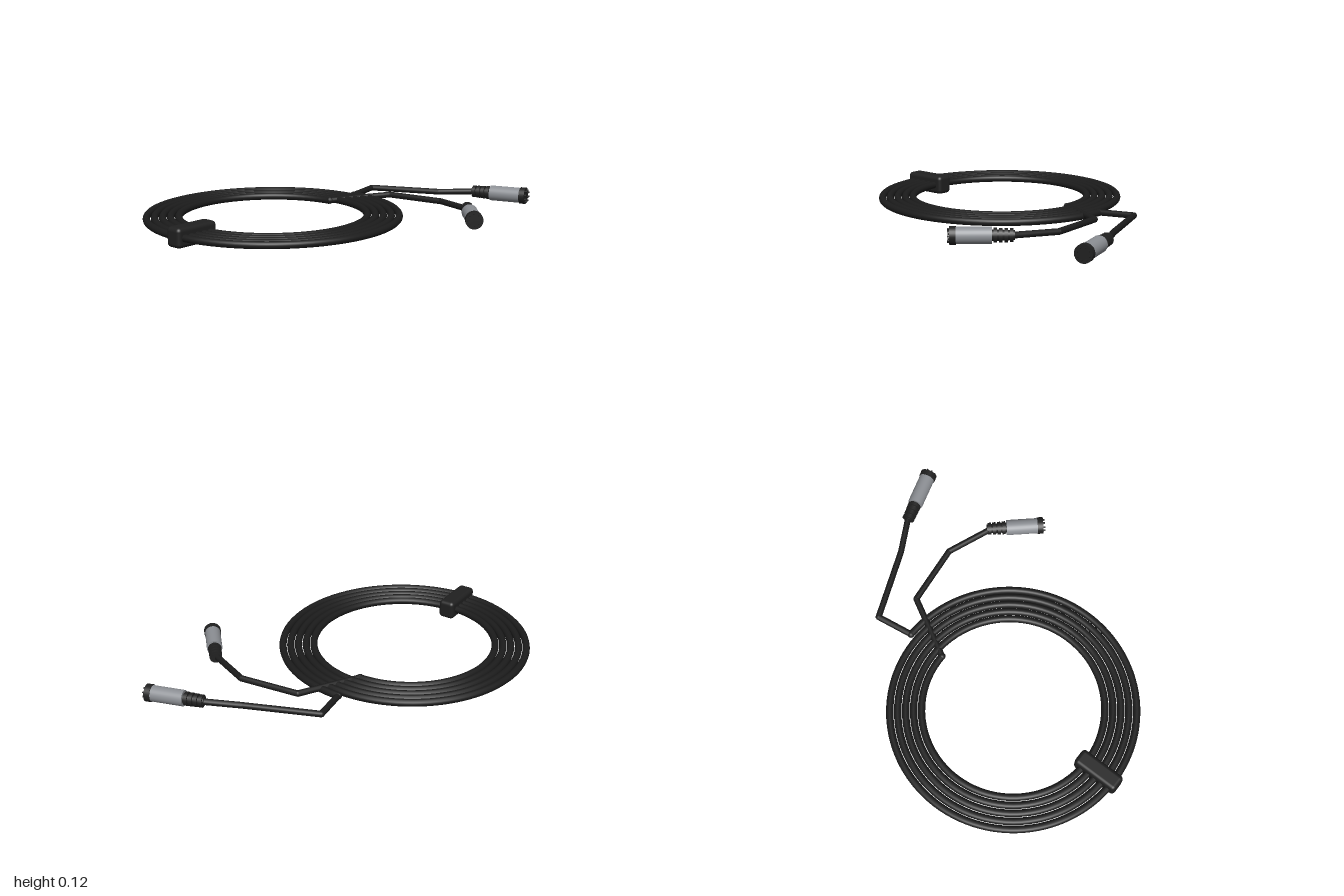
import * as THREE from 'three';
import { RoundedBoxGeometry } from 'three/addons/geometries/RoundedBoxGeometry.js';

const mat = (name, color) => {
  const m = new THREE.MeshStandardMaterial({ color });
  m.name = name;
  return m;
};
const UP = new THREE.Vector3(0, 1, 0);

// Flat spiral, from the inner end to the outer end
class Spiral extends THREE.Curve {
  getPoint(t, target = new THREE.Vector3()) {
    const turns = 5, a = t * turns * Math.PI * 2;
    const r = 0.4815 + 0.043 * turns * t;
    return target.set(-0.285 + r * Math.cos(a), 0.052, -0.166 - r * Math.sin(a));
  }
}

export function createModel() {
  const cableMat = mat('black cable', 0x1c1c1c);
  const rubberMat = mat('dark rubber', 0x202020);
  const metalMat = mat('grey metal', 0x8c8f94);

  const model = new THREE.Group();
  model.name = 'coiledCable';
  const add = (parent, name, geo, material) => {
    const mesh = new THREE.Mesh(geo, material);
    mesh.name = name;
    parent.add(mesh);
    return mesh;
  };

  // Coil and the clip that holds it
  add(model, 'coil', new THREE.TubeGeometry(new Spiral(), 480, 0.02, 12), cableMat);
  add(model, 'clip', new RoundedBoxGeometry(0.265, 0.106, 0.095, 4, 0.022), rubberMat)
    .position.set(-0.868, 0.053, -0.165);

  // Tail: straight runs with round joints at the bends
  const tail = (name, points) => {
    const group = new THREE.Group();
    group.name = name;
    const pts = points.map(p => new THREE.Vector3(...p));
    pts.forEach((p, i) => {
      add(group, 'joint', new THREE.SphereGeometry(i ? 0.017 : 0.02, 12, 8), cableMat).position.copy(p);
      if (!i) return;
      const d = p.clone().sub(pts[i - 1]);
      const run = add(group, 'run', new THREE.CylinderGeometry(0.017, 0.017, d.length(), 12), cableMat);
      run.position.copy(p).addScaledVector(d, -0.5);
      run.quaternion.setFromUnitVectors(UP, d.normalize());
    });
    model.add(group);
  };

  // Plug: local +y runs from the body's cable end to the tip
  const plug = (name, x, z, dx, dz) => {
    const group = new THREE.Group();
    group.name = name;
    const cyl = (part, r0, r1, y0, y1, m, seg = 24) => {
      const mesh = add(group, part, new THREE.CylinderGeometry(r1, r0, y1 - y0, seg), m);
      mesh.position.y = (y0 + y1) / 2;
      return mesh;
    };
    // Ribbed strain relief
    cyl('strainRelief', 0.024, 0.029, -0.112, 0.002, rubberMat);
    for (let i = 0; i < 4; i++) {
      const y = -0.106 + i * 0.027;
      cyl('reliefRib', 0.034 + i * 0.001, 0.034 + i * 0.001, y, y + 0.018, rubberMat);
    }
    cyl('plugBody', 0.043, 0.043, 0, 0.178, metalMat, 32);
    cyl('tipCollar', 0.047, 0.047, 0.176, 0.208, rubberMat, 32);
    // Contact pins on the end face
    for (let i = 0; i < 8; i++) {
      const a = i * Math.PI / 4;
      const pin = cyl('pin', 0.005, 0.005, 0.2, 0.219, rubberMat, 8);
      pin.position.x = 0.032 * Math.cos(a);
      pin.position.z = 0.032 * Math.sin(a);
    }
    group.position.set(x, 0.075, z);
    group.quaternion.setFromUnitVectors(UP, new THREE.Vector3(dx, 0, dz).normalize());
    model.add(group);
  };

  tail('innerTail', [[0.195, 0.054, -0.166], [0.52, 0.061, 0.01], [0.557, 0.063, 0.35], [0.455, 0.073, 0.597]]);
  plug('innerPlug', 0.388, 0.663, -0.743, 0.669);

  tail('outerTail', [[0.412, 0.052, -0.17], [0.617, 0.059, -0.203], [0.77, 0.062, 0.18], [0.868, 0.074, 0.365]]);
  plug('outerPlug', 0.893, 0.46, 0.285, 0.96);

  return model;
}
